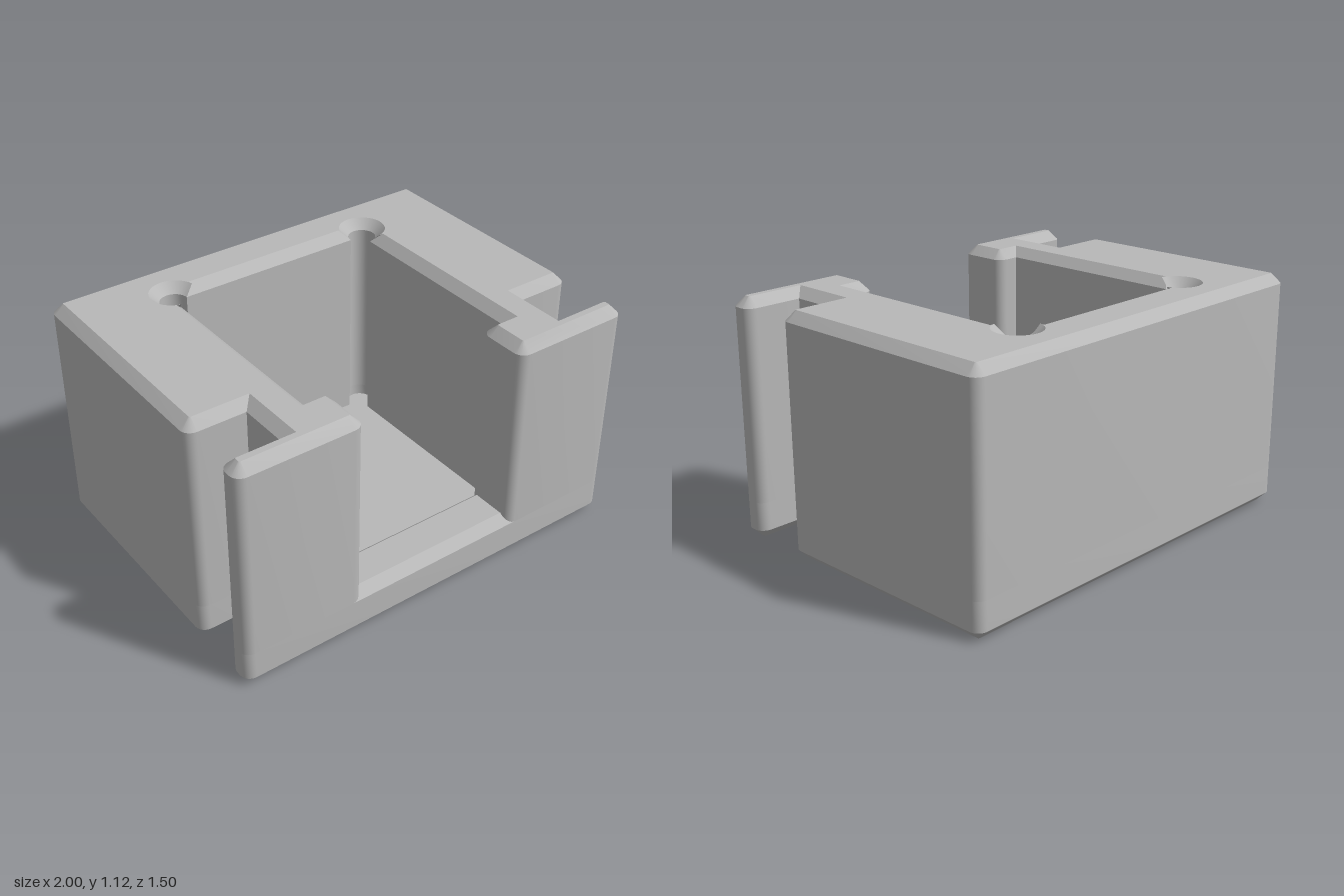
import * as THREE from 'three';
import { toCreasedNormals } from 'three/addons/utils/BufferGeometryUtils.js';

const CHAMFER = 0.045, ROUND = 0.05;
const FLOOR = 0.125, SILL = 0.18, TOP = 1.125;

// Mirror a +x half outline to close it across x = 0.
const mirrored = (half) => [...half, ...half.map(([x, z, r]) => [-x, z, r]).reverse()];

// Replace corners [x, z, radius] with arcs.
function rounded(corners, steps = 6) {
  const out = [], n = corners.length;
  corners.forEach(([x, z, r], i) => {
    const c = new THREE.Vector2(x, z);
    if (!r) { out.push(c); return; }
    const prev = corners[(i + n - 1) % n], next = corners[(i + 1) % n];
    const din = c.clone().sub(new THREE.Vector2(prev[0], prev[1])).normalize();
    const dout = new THREE.Vector2(next[0], next[1]).sub(c).normalize();
    const centre = c.clone().addScaledVector(din, -r).addScaledVector(dout, r);
    for (let k = 0; k <= steps; k++) {
      const t = (k / steps) * Math.PI / 2;
      out.push(centre.clone().addScaledVector(dout, -r * Math.cos(t)).addScaledVector(din, r * Math.sin(t)));
    }
  });
  return out;
}

// Shrink the solid side of an outline by d, with mitred corners.
function inset(pts, d) {
  const n = pts.length;
  return pts.map((p, i) => {
    const a = p.clone().sub(pts[(i + n - 1) % n]).normalize();
    const b = pts[(i + 1) % n].clone().sub(p).normalize();
    const na = new THREE.Vector2(-a.y, a.x), nb = new THREE.Vector2(-b.y, b.x);
    return p.clone().addScaledVector(na.clone().add(nb), d / (1 + na.dot(nb)));
  });
}

// Loft an outline through [y, inset] levels; cap the low or high end on request.
// capLow: 'down' closes a solid, 'up' makes a pocket floor.
function loft(outline, levels, { capLow, capHigh } = {}) {
  const pos = [];
  const put = (p, y) => pos.push(p.x, y, p.y);
  const rings = levels.map(([y, d]) => ({ y, pts: d ? inset(outline, d) : outline }));
  for (let k = 0; k + 1 < rings.length; k++) {
    const lo = rings[k], hi = rings[k + 1];
    for (let i = 0; i < outline.length; i++) {
      const j = (i + 1) % outline.length;
      put(lo.pts[i], lo.y); put(hi.pts[i], hi.y); put(hi.pts[j], hi.y);
      put(lo.pts[i], lo.y); put(hi.pts[j], hi.y); put(lo.pts[j], lo.y);
    }
  }
  const cap = ({ pts, y }, facing) => {
    for (const [i, j, k] of THREE.ShapeUtils.triangulateShape(pts, [])) {
      const facesDown = THREE.ShapeUtils.area([pts[i], pts[j], pts[k]]) > 0;
      const order = facesDown === (facing === 'down') ? [i, j, k] : [i, k, j];
      order.forEach((v) => put(pts[v], y));
    }
  };
  if (capLow) cap(rings[0], capLow);
  if (capHigh) cap(rings[rings.length - 1], capHigh);
  const geo = new THREE.BufferGeometry();
  geo.setAttribute('position', new THREE.Float32BufferAttribute(pos, 3));
  return toCreasedNormals(geo, 0.5);
}

export function createModel() {
  const group = new THREE.Group();
  group.name = 'slottedHousing';
  const grey = new THREE.MeshStandardMaterial({ color: 0xb8b8b8 });
  grey.name = 'plain grey';
  const add = (name, geo) => {
    const mesh = new THREE.Mesh(geo, grey);
    mesh.name = name;
    group.add(mesh);
  };

  // Right half of the outside, with the side slot behind the front flange
  const outer = [
    [1, -0.75, ROUND], [1, 0.4, ROUND], [0.725, 0.4], [0.725, 0.63],
    [1, 0.63, ROUND], [1, 0.75, ROUND],
  ];
  // Right half of the pocket, ending in a round corner relief
  const pocket = [[0.52, 0.5]];
  for (let i = 0; i <= 24; i++) {
    const a = Math.PI / 2 - (i / 24) * Math.PI * 1.5;
    pocket.push([0.52 + 0.065 * Math.cos(a), -0.5 + 0.065 * Math.sin(a)]);
  }
  // Rounded jamb of the front opening
  const jamb = [[0.405, 0.75, ROUND], [0.405, 0.5, ROUND]];

  // Base with a chamfered underside
  add('base', loft(rounded(mirrored(outer)),
    [[0, CHAMFER], [CHAMFER, 0], [SILL, 0]], { capLow: 'down' }));

  // Recessed pocket floor
  add('pocketFloor', loft(rounded(mirrored(pocket)),
    [[FLOOR, 0], [SILL, 0]], { capLow: 'up' }));

  // Walls around the pocket with a chamfered rim
  add('walls', loft(rounded(mirrored([...outer, ...jamb, ...pocket])),
    [[SILL, 0], [TOP - CHAMFER, 0], [TOP, CHAMFER]], { capHigh: 'up' }));

  // Chamfered sill across the front opening
  const sill = [[-0.47, 0.5], [0.47, 0.5], [0.47, 0.75], [-0.47, 0.75]];
  add('frontSill', loft(rounded(sill),
    [[SILL, 0], [SILL + CHAMFER, CHAMFER]], { capHigh: 'up' }));

  return group;
}
